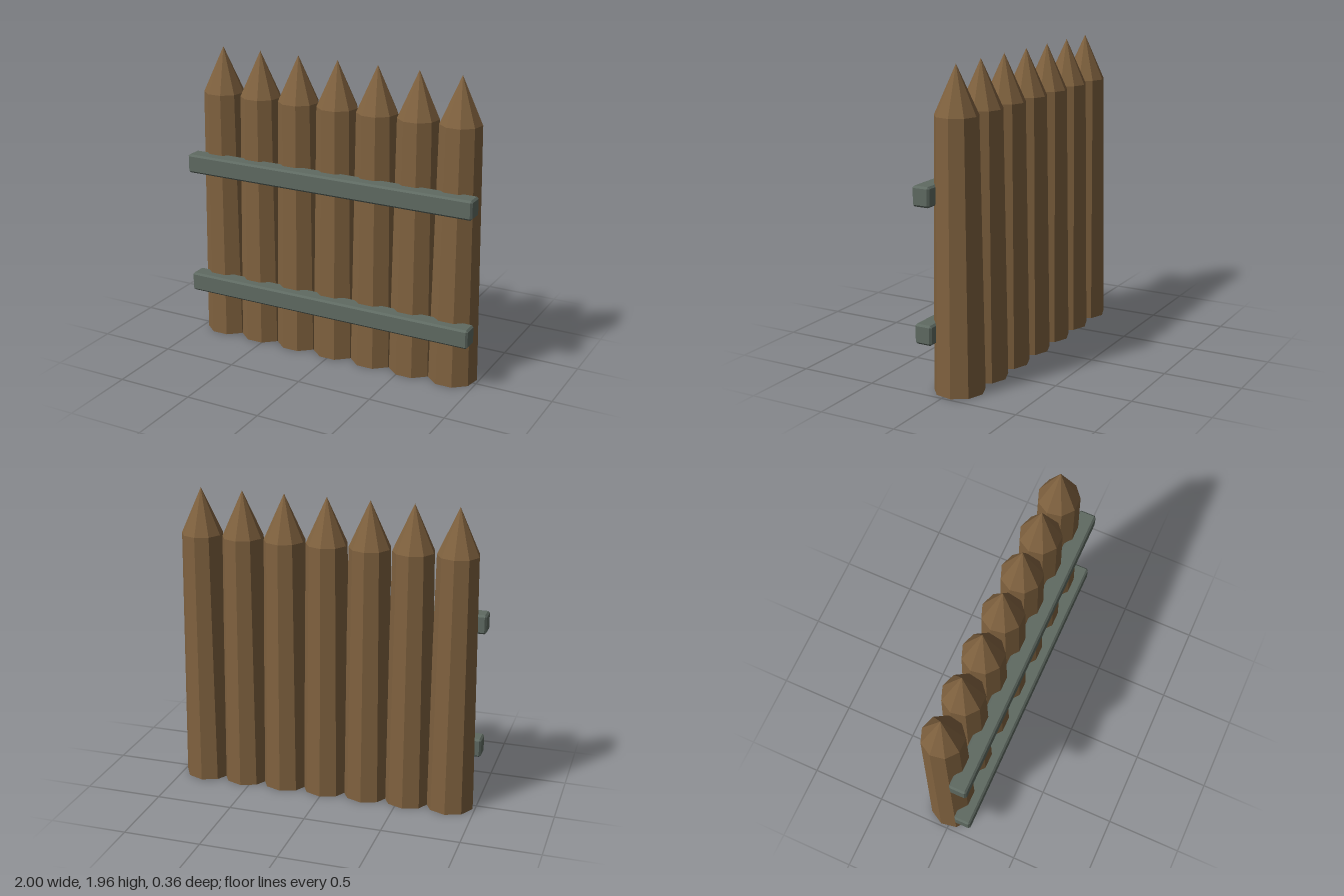
import * as THREE from 'three';
import { ConvexGeometry } from 'three/addons/geometries/ConvexGeometry.js';

const wood = new THREE.MeshStandardMaterial({ color: 0x80623f, flatShading: true });
wood.name = 'wood';
const slate = new THREE.MeshStandardMaterial({ color: 0x5f6a62, flatShading: true });
slate.name = 'greyRail';

// Box with every edge chamfered by c
function chamferedBox(w, h, d, c) {
  const points = [];
  for (const sx of [-1, 1]) for (const sy of [-1, 1]) for (const sz of [-1, 1]) {
    const x = w / 2, y = h / 2, z = d / 2;
    points.push(
      new THREE.Vector3(sx * x, sy * (y - c), sz * (z - c)),
      new THREE.Vector3(sx * (x - c), sy * y, sz * (z - c)),
      new THREE.Vector3(sx * (x - c), sy * (y - c), sz * z),
    );
  }
  return new ConvexGeometry(points);
}

// Tapered nine-sided log with a pointed tip, one flat side facing front
function stakeGeometry() {
  const profile = [[0, 0], [0.157, 0], [0.132, 1.668], [0, 1.963]]
    .map(([r, y]) => new THREE.Vector2(r, y));
  const geometry = new THREE.LatheGeometry(profile, 9, Math.PI).toNonIndexed();
  geometry.computeVertexNormals();
  return geometry;
}

export function createModel() {
  const model = new THREE.Group();
  model.name = 'palisade';

  // Row of sharpened stakes
  const stake = stakeGeometry();
  for (let i = -3; i <= 3; i++) {
    const mesh = new THREE.Mesh(stake, wood);
    mesh.name = `stake${i + 4}`;
    mesh.position.set(i * 0.277, 0, -0.024);
    model.add(mesh);
  }

  // Two rails across the front
  const rail = chamferedBox(2, 0.124, 0.114, 0.012);
  for (const [name, y] of [['lowerRail', 0.372], ['upperRail', 1.206]]) {
    const mesh = new THREE.Mesh(rail, slate);
    mesh.name = name;
    mesh.position.set(0, y, 0.124);
    model.add(mesh);
  }
  return model;
}
